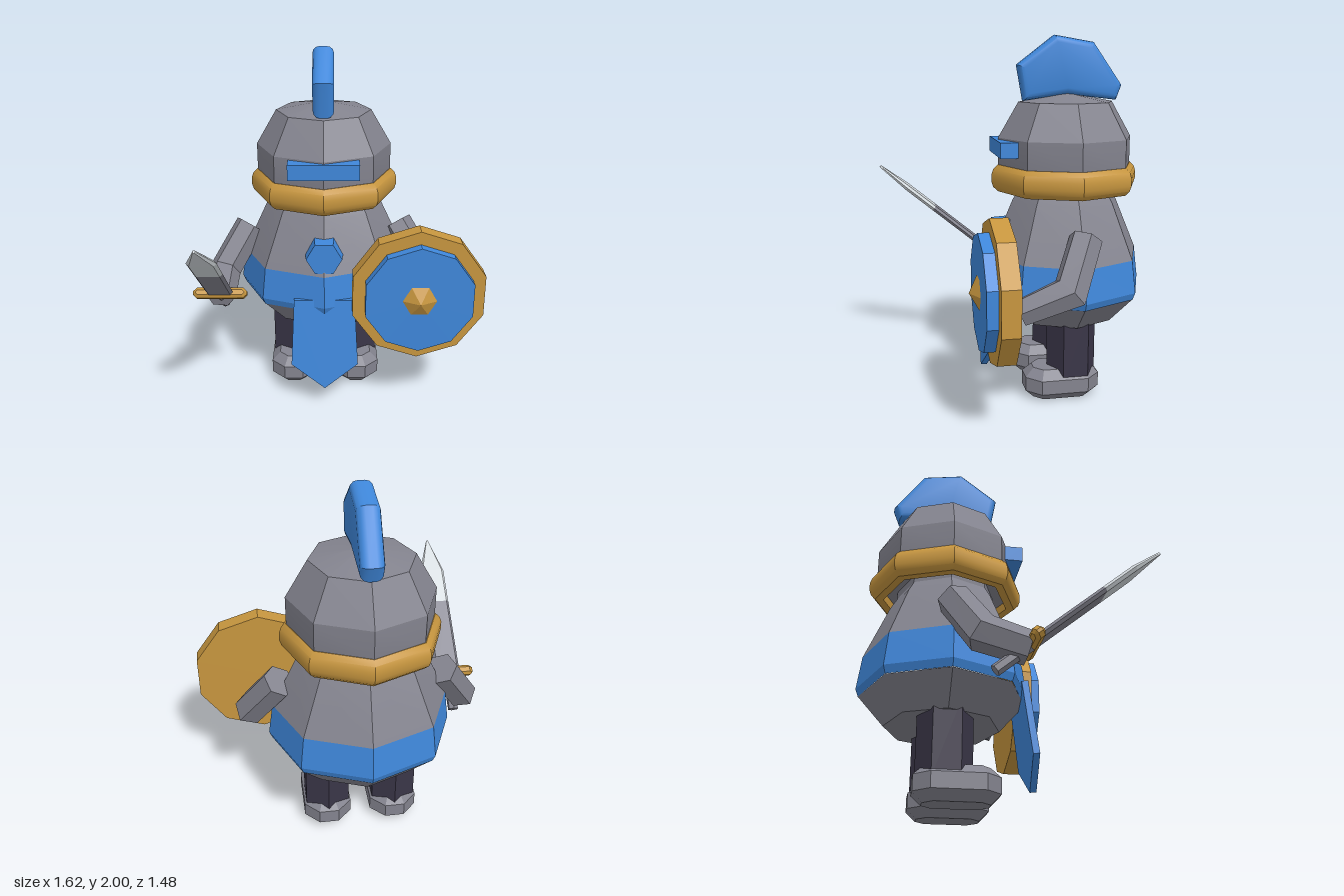
import * as THREE from 'three';
import { toCreasedNormals } from 'three/addons/utils/BufferGeometryUtils.js';

const mat = (name, color) => {
  const m = new THREE.MeshStandardMaterial({ color });
  m.name = name;
  return m;
};

export function createModel() {
  const armour = mat('grey armour', 0x84848f);
  const blue = mat('blue', 0x3f87da);
  const gold = mat('gold', 0xc7963f);
  const dark = mat('dark leggings', 0x3a3648);
  const steel = mat('pale steel', 0xd2d8dc);

  const model = new THREE.Group();
  const CX = -0.07, CZ = -0.29; // axis of the body

  const add = (name, geo, material, x = 0, y = 0, z = 0, parent = model, crease = 0.25) => {
    const mesh = new THREE.Mesh(toCreasedNormals(geo, crease), material);
    mesh.name = name;
    mesh.position.set(x, y, z);
    parent.add(mesh);
    return mesh;
  };
  // eight-sided turned part from [radius, height] pairs, bottom to top
  const turned = (pairs, sx = 1) =>
    new THREE.LatheGeometry(pairs.map(p => new THREE.Vector2(...p)), 8).scale(sx, 1, 1);
  const polygon = pts => new THREE.Shape(pts.map(p => new THREE.Vector2(...p)));
  // block with cut corners and a chamfer, w by d in plan and h tall, centred
  const chamferBlock = (w, h, d, cut, bevel) => {
    const a = w / 2 - bevel, b = d / 2 - bevel;
    const shape = polygon([[a - cut, -b], [a, cut - b], [a, b - cut], [a - cut, b],
      [cut - a, b], [-a, b - cut], [-a, cut - b], [cut - a, -b]]);
    return new THREE.ExtrudeGeometry(shape, { depth: h - 2 * bevel, bevelEnabled: true,
      bevelSize: bevel, bevelThickness: bevel, bevelSegments: 1 })
      .translate(0, 0, bevel - h / 2).rotateX(-Math.PI / 2);
  };

  // Torso and belt
  add('torso', turned([[0, 0.43], [0.3, 0.43], [0.435, 0.58]], 1.1), armour, CX, 0, CZ);
  add('belt', turned([[0.435, 0.58], [0.45, 0.62], [0.427, 0.8]], 1.11), blue, CX, 0, CZ);
  add('chest', turned([[0.427, 0.8], [0.3, 1.1], [0.265, 1.16], [0.265, 1.22]], 1.11), armour, CX, 0, CZ);

  // Collar and helmet
  add('collar', turned([[0.34, 1.15], [0.385, 1.15], [0.41, 1.175], [0.42, 1.205], [0.42, 1.245],
    [0.41, 1.275], [0.385, 1.3], [0.34, 1.3], [0.34, 1.15]]), gold, CX, 0, CZ, model, 0.7);
  add('helmet', turned([[0, 1.2], [0.36, 1.2], [0.382, 1.3], [0.382, 1.45], [0.268, 1.645], [0, 1.695]]),
    armour, CX, 0, CZ);
  add('visor', new THREE.BoxGeometry(0.385, 0.085, 0.1), blue, CX, 1.398, 0.06);

  // Crest: outline in z and y, extruded across x
  const crest = new THREE.ExtrudeGeometry(
    polygon([[-0.05, 1.83], [-0.075, 1.69], [-0.29, 1.72], [-0.55, 1.69], [-0.565, 1.73],
      [-0.42, 1.935], [-0.23, 1.967]]),
    { depth: 0.036, bevelEnabled: true, bevelSize: 0.035, bevelThickness: 0.04, bevelSegments: 3 })
    .translate(0, 0, -0.018).rotateY(-Math.PI / 2);
  add('crest', crest, blue, CX, 0, 0, model, 0.6);

  // Chest badge and hanging cloth
  add('chestBadge', new THREE.CylinderGeometry(0.1, 0.108, 0.12, 6)
    .rotateY(Math.PI / 6).rotateX(Math.PI / 2), blue, CX, 0.905, 0.065);
  const cloth = new THREE.ExtrudeGeometry(
    polygon([[-0.17, 0.01], [-0.19, -0.38], [0, -0.53], [0.19, -0.38], [0.17, 0.01]]),
    { depth: 0.035, bevelEnabled: false });
  add('frontCloth', cloth, blue, CX, 0.645, 0.1).rotation.x = -0.125;

  // Legs and feet
  for (const side of [-1, 1]) {
    const name = side < 0 ? 'right' : 'left', x = CX + side * 0.19;
    add(name + 'Leg', new THREE.CylinderGeometry(0.14, 0.14, 0.4, 6), dark, x, 0.3, CZ);
    add(name + 'Foot', chamferBlock(0.265, 0.175, 0.42, 0.05, 0.048), armour, x, 0.0875, -0.23);
  }

  // Arms: six-sided rods mitred at the elbow
  const arm = (name, points, radii) => {
    const P = points.map(p => new THREE.Vector3(...p));
    const t0 = P[1].clone().sub(P[0]).normalize(), t2 = P[2].clone().sub(P[1]).normalize();
    const T = [t0, t0.clone().add(t2).normalize(), t2];
    const n = t0.clone().cross(t2).normalize();
    const geo = new THREE.CylinderGeometry(1, 1, 1, 6, 2);
    const pos = geo.attributes.position;
    for (let i = 0; i < pos.count; i++) {
      const row = Math.round((pos.getY(i) + 0.5) * 2), r = radii[row];
      const stretch = row === 1 ? 1 / T[1].dot(t0) : 1;
      const v = n.clone().cross(T[row]);
      const p = P[row].clone().addScaledVector(n, pos.getX(i) * r)
        .addScaledVector(v, pos.getZ(i) * r * stretch);
      pos.setXYZ(i, p.x, p.y, p.z);
    }
    add(name, geo, armour);
  };
  arm('leftArm', [[0.36, 0.96, -0.3], [0.51, 0.72, -0.18], [0.47, 0.615, 0.065]], [0.09, 0.092, 0.075]);
  arm('rightArm', [[-0.51, 0.95, -0.29], [-0.66, 0.71, -0.17], [-0.66, 0.65, 0.05]], [0.09, 0.092, 0.085]);

  // Shield
  const shield = new THREE.Group();
  shield.name = 'shield';
  shield.position.set(0.447, 0.727, 0);
  model.add(shield);
  const disc = (r0, r1, depth, sides, turn = 0) =>
    new THREE.CylinderGeometry(r1, r0, depth, sides).rotateY(turn).rotateX(Math.PI / 2);
  add('shieldRim', disc(0.38, 0.38, 0.097, 10), gold, 0, 0, 0.1735, shield);
  add('shieldFace', disc(0.308, 0.308, 0.08, 10), blue, 0, 0, 0.24, shield);
  add('shieldBoss', disc(0.097, 0, 0.05, 6, Math.PI / 6), gold, 0, 0, 0.303, shield);

  // Sword: built along y, then tilted forward
  const sword = new THREE.Group();
  sword.name = 'sword';
  sword.position.set(-0.66, 0.673, 0.067);
  sword.rotation.x = 0.88;
  model.add(sword);
  // flat six-sided blade section with narrow ground edges
  const blade = (name, y0, y1, w0, w1, material) => {
    const geo = new THREE.CylinderGeometry(w1, w0, y1 - y0, 6).rotateY(Math.PI / 6);
    const pos = geo.attributes.position;
    for (let i = 0; i < pos.count; i++) {
      const x = pos.getX(i), z = pos.getZ(i);
      const w = pos.getY(i) > 0 ? w1 : w0;
      pos.setX(i, Math.abs(x) < w * 0.7 ? x * 1.6 : x);
      pos.setZ(i, Math.sign(Math.round(z * 1e4)) * (0.006 + 0.13 * w));
    }
    add(name, geo, material, 0, (y0 + y1) / 2, 0, sword);
  };
  blade('lowerBlade', 0, 0.45, 0.075, 0.075, armour);
  blade('upperBlade', 0.45, 0.66, 0.075, 0.075, steel);
  blade('bladeTip', 0.66, 0.868, 0.075, 0.006, steel);
  add('guard', chamferBlock(0.305, 0.06, 0.06, 0.012, 0.016), gold, 0, 0, 0, sword);
  add('grip', new THREE.CylinderGeometry(0.03, 0.03, 0.23, 6), armour, 0, -0.115, 0, sword);

  return model;
}
